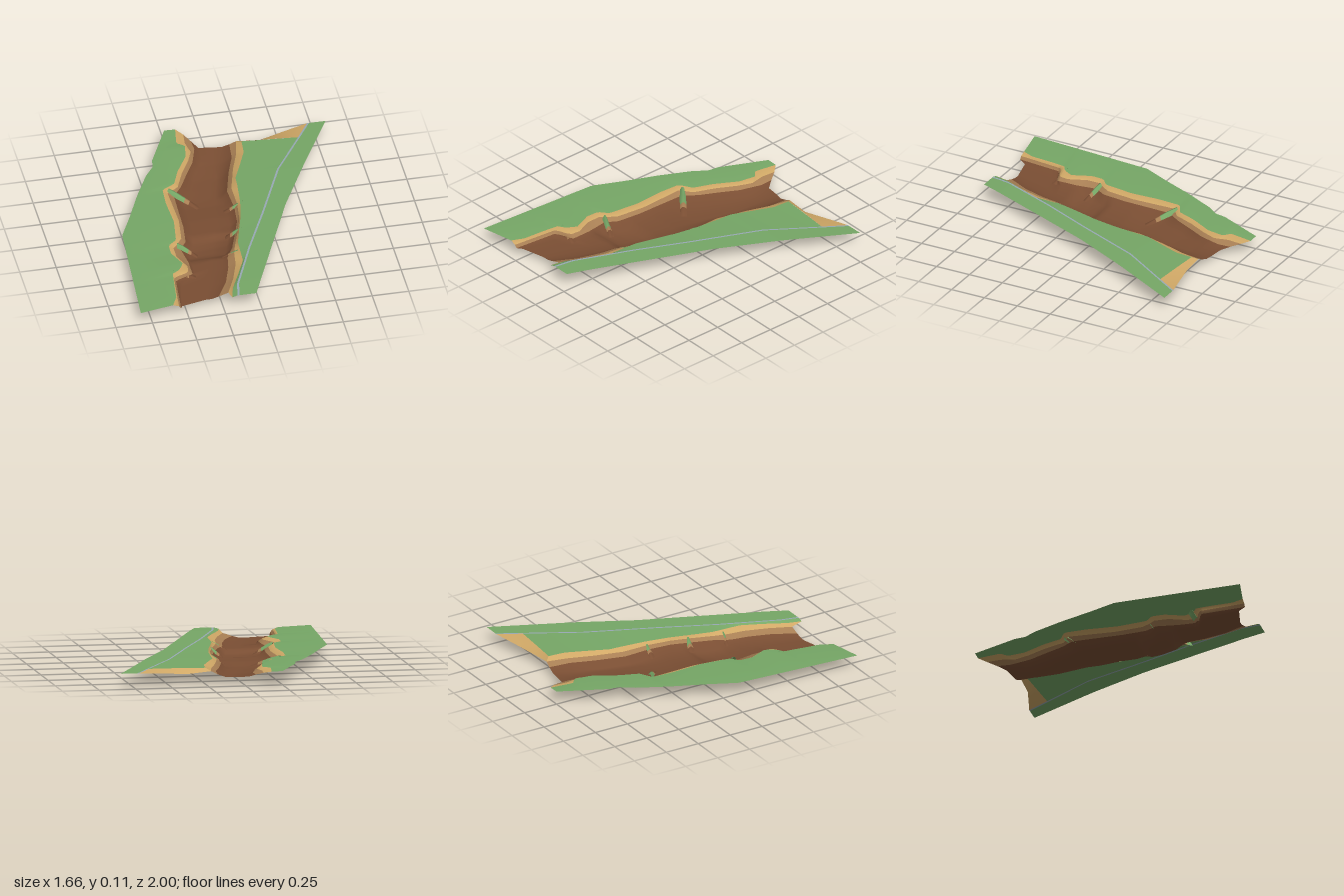
import * as THREE from 'three';

const mat = (name, color) => {
  const m = new THREE.MeshStandardMaterial({ color, side: THREE.DoubleSide });
  m.name = name;
  return m;
};

// Linear lookup in [z, value] pairs
function lookup(pts, z) {
  if (z <= pts[0][0]) return pts[0][1];
  for (let i = 1; i < pts.length; i++) {
    const [z0, v0] = pts[i - 1], [z1, v1] = pts[i];
    if (z <= z1) return v0 + (v1 - v0) * (z - z0) / (z1 - z0);
  }
  return pts[pts.length - 1][1];
}

// A break line: plan points [z, x], height a number or [z, y] points; sampled over its own z range
function breakLine(plan, height, rows = 96) {
  const z0 = plan[0][0], z1 = plan[plan.length - 1][0];
  return Array.from({ length: rows + 1 }, (_, i) => {
    const z = z0 + (z1 - z0) * i / rows;
    const y = typeof height === 'number' ? height : lookup(height, z);
    return [lookup(plan, z), y, z];
  });
}

// Surface lofted between neighbouring break lines, one material per strip
function loft(name, lines, materials) {
  const n = lines[0].length, index = [];
  const geo = new THREE.BufferGeometry();
  geo.setAttribute('position', new THREE.Float32BufferAttribute(lines.flat(2), 3));
  for (let s = 0; s < lines.length - 1; s++) {
    geo.addGroup(index.length, (n - 1) * 6, s);
    for (let i = 0; i < n - 1; i++) {
      const a = s * n + i, c = a + n;
      index.push(a, a + 1, c, a + 1, c + 1, c);
    }
  }
  geo.setIndex(index);
  geo.computeVertexNormals();
  const mesh = new THREE.Mesh(geo, materials);
  mesh.name = name;
  return mesh;
}

export function createModel() {
  const group = new THREE.Group();
  group.name = 'riverValley';
  const grass = mat('grass', 0x76a766);
  const sand = mat('sand', 0xd0a866);
  const earth = mat('tanEarth', 0xa87f54);
  const soil = mat('brownSoil', 0x7a4e33);
  const trail = mat('greyTrail', 0x98a9b4);

  // Height of the river bed along its length
  const bedY = [[-0.83, 0.037], [-0.65, 0.018], [-0.5, 0.01], [-0.2, 0.01], [-0.05, 0.022],
    [0.13, 0.024], [0.18, 0.004], [0.25, 0], [0.36, 0.008], [0.42, 0.036], [0.95, 0.042]];
  const rimY = [[-1, 0.092], [-0.8, 0.096], [0.7, 0.098], [1, 0.092]];

  // Left bank, from the outer edge down to the toe
  const leftOuter = breakLine([[-1, -0.25], [-0.68, -0.40], [-0.61, -0.41], [-0.52, -0.475],
    [-0.31, -0.58], [-0.08, -0.68], [0.11, -0.77], [1, -0.83]], 0.094);
  const leftRim = breakLine([[-1, -0.175], [-0.84, -0.2], [-0.8, -0.15], [-0.68, -0.17],
    [-0.52, -0.26], [-0.39, -0.31], [-0.34, -0.40], [-0.18, -0.41], [0.03, -0.40], [0.24, -0.43],
    [0.29, -0.49], [0.38, -0.495], [0.51, -0.44], [0.58, -0.48], [0.61, -0.53], [0.77, -0.55],
    [0.87, -0.56], [0.955, -0.6]], rimY);
  const leftSand = breakLine([[-0.95, -0.13], [-0.85, -0.14], [-0.75, -0.12], [-0.65, -0.16],
    [-0.52, -0.23], [-0.37, -0.29], [-0.32, -0.37], [0, -0.36], [0.2, -0.385], [0.27, -0.43],
    [0.3, -0.46], [0.4, -0.46], [0.52, -0.41], [0.59, -0.42], [0.63, -0.525], [0.955, -0.56]], 0.078);
  const leftEarth = breakLine([[-0.89, -0.09], [-0.8, -0.085], [-0.65, -0.13], [-0.52, -0.2],
    [-0.4, -0.26], [-0.3, -0.33], [-0.15, -0.335], [0.05, -0.34], [0.22, -0.36], [0.3, -0.41],
    [0.45, -0.39], [0.59, -0.39], [0.64, -0.515], [0.955, -0.545]], 0.059);
  const leftToe = breakLine([[-0.835, -0.05], [-0.7, -0.06], [-0.55, -0.14], [-0.4, -0.2],
    [-0.25, -0.27], [0.1, -0.28], [0.25, -0.32], [0.35, -0.36], [0.58, -0.37], [0.66, -0.48],
    [0.8, -0.51], [0.91, -0.53]], bedY);
  const bedMiddle = breakLine([[-0.825, 0.04], [-0.5, 0], [-0.2, -0.08], [0.1, -0.14],
    [0.4, -0.22], [0.87, -0.36]], bedY);

  // Right bank, from the toe up to the rim
  const rightToe = breakLine([[-0.815, 0.1], [-0.5, 0.04], [-0.29, -0.01], [0.06, -0.02],
    [0.2, -0.07], [0.35, -0.12], [0.56, -0.19], [0.87, -0.32]], bedY);
  const rightEarth = breakLine([[-0.81, 0.155], [-0.66, 0.14], [-0.5, 0.085], [-0.29, 0.03],
    [-0.1, 0.04], [0.06, 0.025], [0.2, -0.02], [0.35, -0.07], [0.44, -0.12], [0.56, -0.14],
    [0.72, -0.19], [0.87, -0.27]], 0.055);
  const rightSand = breakLine([[-0.805, 0.2], [-0.66, 0.17], [-0.5, 0.115], [-0.29, 0.06],
    [-0.1, 0.06], [0.06, 0.04], [0.2, 0], [0.35, -0.05], [0.44, -0.075], [0.56, -0.09],
    [0.72, -0.14], [0.87, -0.205]], 0.077);
  const rightRim = breakLine([[-0.77, 0.23], [-0.65, 0.22], [-0.5, 0.16], [-0.37, 0.105],
    [-0.29, 0.1], [-0.1, 0.08], [0.06, 0.05], [0.2, 0.01], [0.35, -0.03], [0.44, -0.035],
    [0.56, -0.04], [0.72, -0.11], [0.85, -0.17], [0.95, -0.195]], rimY);

  group.add(loft('banksAndRiverBed',
    [leftOuter, leftRim, leftSand, leftEarth, leftToe, bedMiddle, rightToe, rightEarth, rightSand, rightRim],
    [grass, sand, earth, soil, soil, soil, soil, earth, sand]));

  // Right meadow with the narrow trail running through it
  const plateauY = [[-0.89, 0.09], [-0.4, 0.106], [0.8, 0.108], [0.95, 0.104]];
  const trailPlan = [[-0.89, 0.703], [-0.74, 0.61], [-0.4, 0.395], [0.06, 0.195], [0.43, 0.025],
    [0.82, -0.135], [0.95, -0.16]];
  const trailLeft = breakLine(trailPlan, plateauY);
  const trailRight = breakLine(trailPlan.map(([z, x]) => [z, x + 0.014]), plateauY);
  const rightOuter = breakLine([[-0.89, 0.83], [-0.49, 0.62], [0, 0.37], [0.95, -0.03]], plateauY);
  group.add(loft('rightMeadow', [rightRim, breakLine(trailPlan.slice(1), plateauY)], [grass]));
  group.add(loft('trailAndOuterMeadow', [trailLeft, trailRight, rightOuter], [trail, grass]));

  // Sandy slope closing the back right corner
  group.add(loft('backSandSlope', [
    [[0.2, 0.077, -0.805], [0.23, 0.096, -0.77]],
    [[0.36, 0.062, -0.805], [0.4, 0.097, -0.757]],
    [[0.53, 0.077, -0.847], [0.61, 0.095, -0.74]],
    [[0.703, 0.09, -0.89], [0.703, 0.09, -0.89]],
  ], [sand, sand, sand]));

  // Spurs: small ridges running from the rim down into the bed, [x, z] start and end
  const spur = (name, from, to, width) => {
    const dx = to[0] - from[0], dz = to[1] - from[1], len = Math.hypot(dx, dz);
    const nx = -dz / len * width, nz = dx / len * width;
    const section = (t) => {
      const x = from[0] + dx * t, z = from[1] + dz * t;
      const tipY = lookup(bedY, to[1]);
      const top = 0.099 + (tipY - 0.099) * t ** 1.3;
      const base = Math.min(top, 0.07 + (tipY - 0.07) * t);
      return [[x + nx, base, z + nz], [x + nx * 0.25, top, z + nz * 0.25],
        [x - nx * 0.25, top, z - nz * 0.25], [x - nx, base, z - nz]];
    };
    group.add(loft(name, [0, 0.3, 0.55, 0.7, 1].map(section), [grass, grass, earth, soil]));
  };
  spur('leftBankSpurBack', [-0.36, -0.34], [-0.18, -0.2], 0.022);
  spur('leftBankSpurMiddle', [-0.43, 0.28], [-0.3, 0.33], 0.018);
  spur('leftBankSpurFront', [-0.52, 0.575], [-0.37, 0.6], 0.02);
  spur('rightBankSpurBack', [0.1, -0.1], [-0.03, -0.11], 0.02);
  spur('rightBankSpurMiddle', [0.03, 0.19], [-0.08, 0.165], 0.02);
  spur('rightBankSpurFront', [-0.02, 0.43], [-0.15, 0.405], 0.018);

  return group;
}
